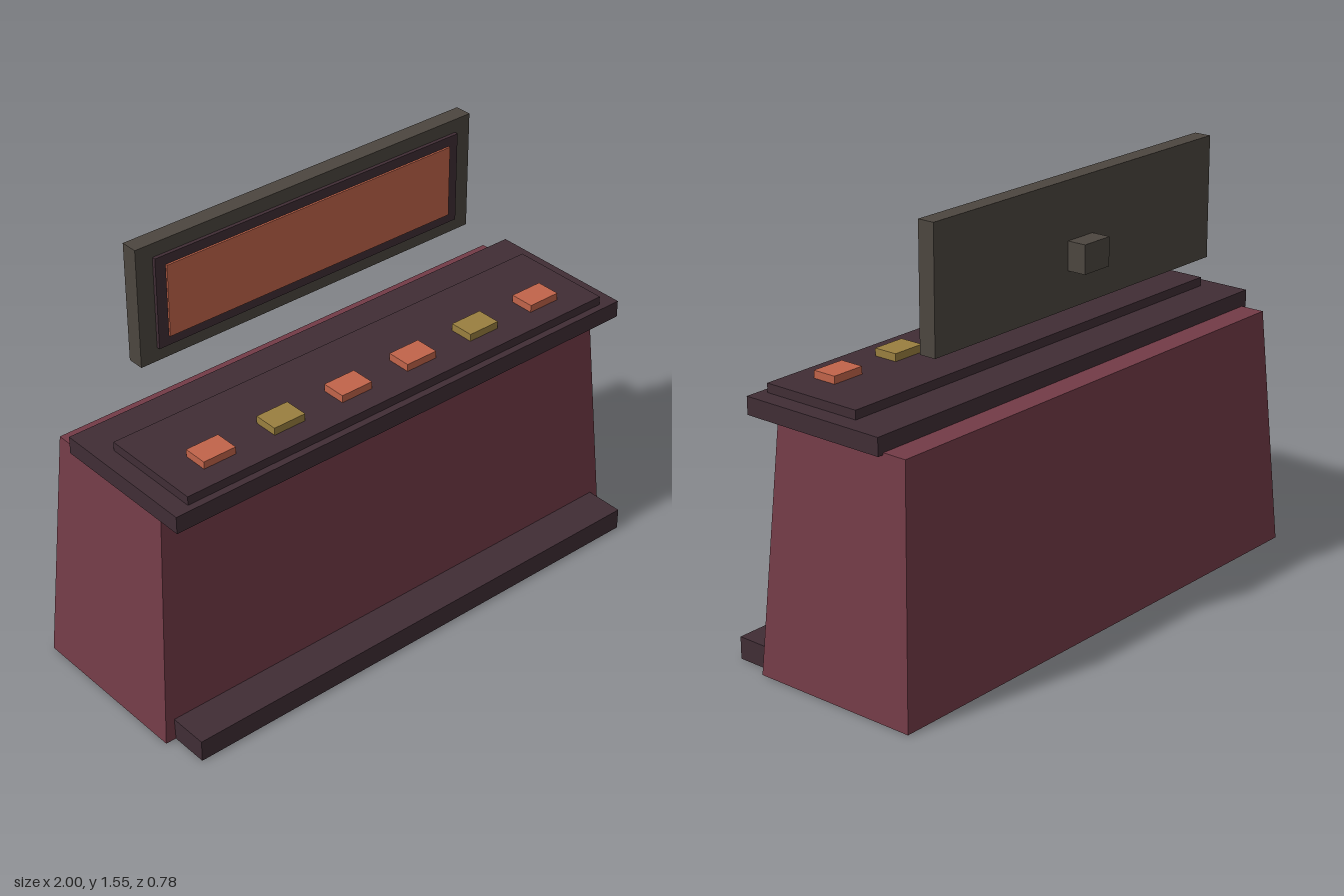
import * as THREE from 'three';

const mat = (name, color) => {
  const m = new THREE.MeshStandardMaterial({ color });
  m.name = name;
  return m;
};

export function createModel() {
  const group = new THREE.Group();
  const maroon = mat('maroon', 0x733b47);
  const dark = mat('dark plum', 0x402d35);
  const grey = mat('warm grey', 0x4c463f);
  const orange = mat('orange', 0xc1644a);
  const gold = mat('gold', 0x9a7f3f);

  // Box from its extents on each axis
  const box = (name, material, [x0, x1], [y0, y1], [z0, z1], parent = group) => {
    const mesh = new THREE.Mesh(new THREE.BoxGeometry(x1 - x0, y1 - y0, z1 - z0), material);
    mesh.position.set((x0 + x1) / 2, (y0 + y1) / 2, (z0 + z1) / 2);
    mesh.name = name;
    parent.add(mesh);
    return mesh;
  };

  // Counter body, tapering towards the top
  const body = box('counterBody', maroon, [-1, 1], [0.001, 0.882], [-0.39, 0.25]);
  const pos = body.geometry.attributes.position;
  for (let i = 0; i < pos.count; i++) {
    if (pos.getY(i) > 0) {
      pos.setX(i, pos.getX(i) * 0.937);
      pos.setZ(i, pos.getZ(i) * 0.844);
    }
  }
  body.geometry = body.geometry.toNonIndexed();
  body.geometry.computeVertexNormals();

  // Foot step and stacked counter top
  box('footStep', dark, [-0.96, 0.96], [0, 0.08], [-0.1, 0.39]);
  box('counterTop', dark, [-0.96, 0.96], [0.875, 0.938], [-0.25, 0.313]);
  box('controlPanel', dark, [-0.895, 0.895], [0.938, 0.97], [-0.097, 0.287]);

  // Row of buttons
  const buttons = new THREE.Group();
  buttons.name = 'buttons';
  group.add(buttons);
  for (let i = 0; i < 6; i++) {
    const x = (i - 2.5) * 0.282;
    box('button', i % 3 === 1 ? gold : orange, [x - 0.063, x + 0.063], [0.97, 0.997], [0.115, 0.205], buttons);
  }

  // Raised sign with a rear bracket
  const sign = new THREE.Group();
  sign.name = 'sign';
  group.add(sign);
  box('signFrame', grey, [-0.705, 0.705], [1.12, 1.552], [-0.255, -0.193], sign);
  box('signBorder', dark, [-0.64, 0.64], [1.17, 1.503], [-0.193, -0.18], sign);
  box('signFace', orange, [-0.6, 0.6], [1.205, 1.468], [-0.18, -0.173], sign);
  box('signBracket', grey, [-0.063, 0.063], [1.25, 1.35], [-0.325, -0.255], sign);

  // Gold buttons sit mirrored about the centre
  buttons.children.forEach((b, i) => { b.material = i === 1 || i === 4 ? gold : orange; });
  return group;
}
